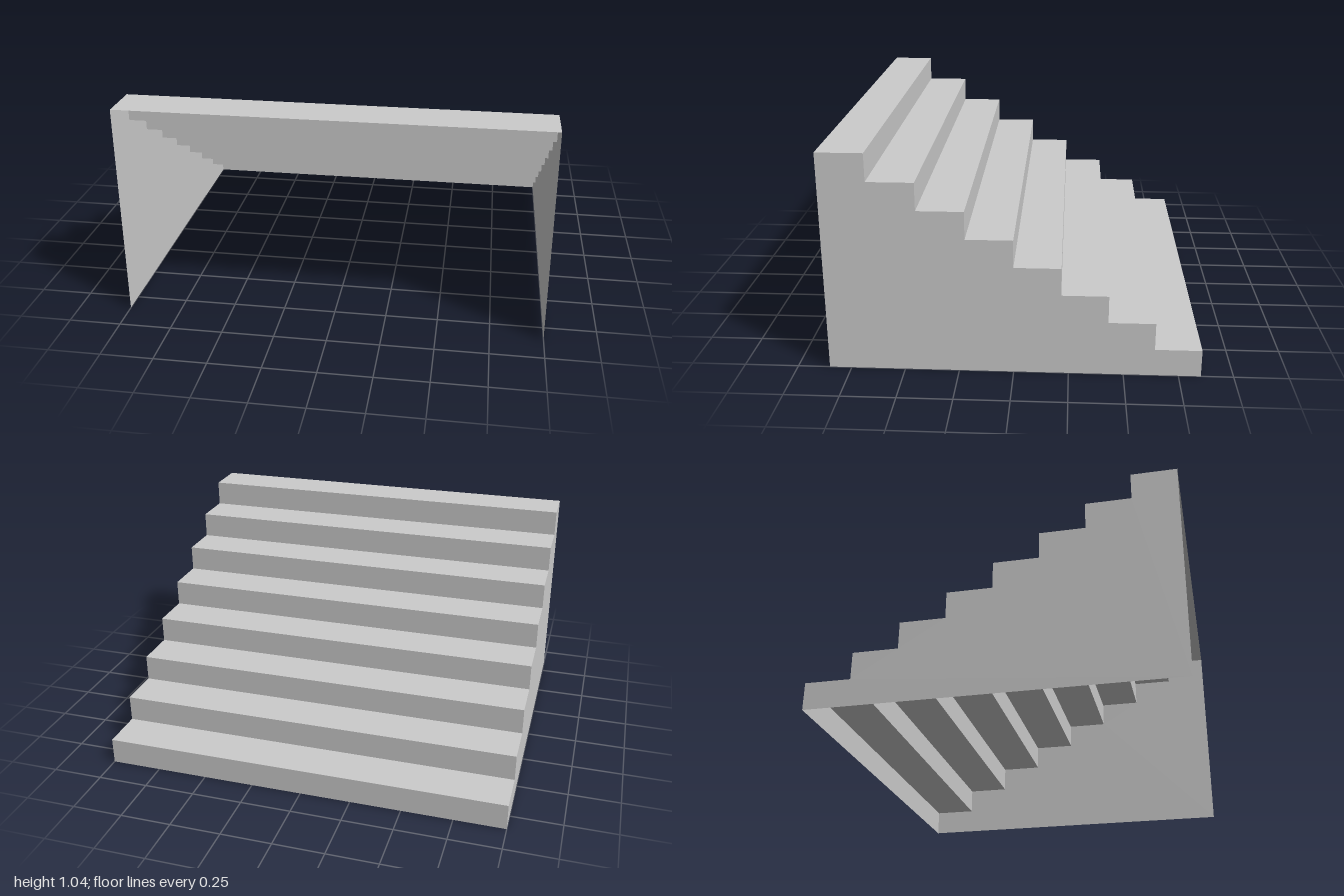
import * as THREE from 'three';

const STEPS = 8;
const WIDTH = 2;
const DEPTH = 1.704;
const HEIGHT = 1.037;
const RUN = DEPTH / STEPS;
const RISE = HEIGHT / STEPS;

export function createModel() {
  const model = new THREE.Group();
  model.name = 'staircase';
  const material = new THREE.MeshStandardMaterial({
    color: 0xcccccc, flatShading: true, side: THREE.DoubleSide,
  });

  const add = (name, geometry, x, y, z) => {
    const mesh = new THREE.Mesh(geometry, material);
    mesh.name = name;
    mesh.position.set(x, y, z);
    model.add(mesh);
  };

  // Thin risers and treads, climbing from the back (-z) to the front (+z)
  const riser = new THREE.PlaneGeometry(WIDTH, RISE).rotateY(Math.PI);
  const tread = new THREE.PlaneGeometry(WIDTH, RUN).rotateX(-Math.PI / 2);
  // Stepped outline of the side walls, drawn as (z, y)
  const outline = new THREE.Shape().moveTo(-DEPTH / 2, 0);
  for (let i = 0; i < STEPS; i++) {
    const z = -DEPTH / 2 + i * RUN;
    const top = (i + 1) * RISE;
    add('riser' + (i + 1), riser, 0, top - RISE / 2, z);
    add('tread' + (i + 1), tread, 0, top, z + RUN / 2);
    outline.lineTo(z, top).lineTo(z + RUN, top);
  }
  outline.lineTo(DEPTH / 2, 0).closePath();

  // Side walls; the front and underside stay open
  const rightWall = new THREE.ShapeGeometry(outline).rotateY(-Math.PI / 2);
  const leftWall = rightWall.clone();
  const index = leftWall.index.array;
  for (let i = 0; i < index.length; i += 3) {
    [index[i], index[i + 1]] = [index[i + 1], index[i]];
  }
  leftWall.computeVertexNormals();
  add('rightWall', rightWall, -WIDTH / 2, 0, 0);
  add('leftWall', leftWall, WIDTH / 2, 0, 0);

  return model;
}
